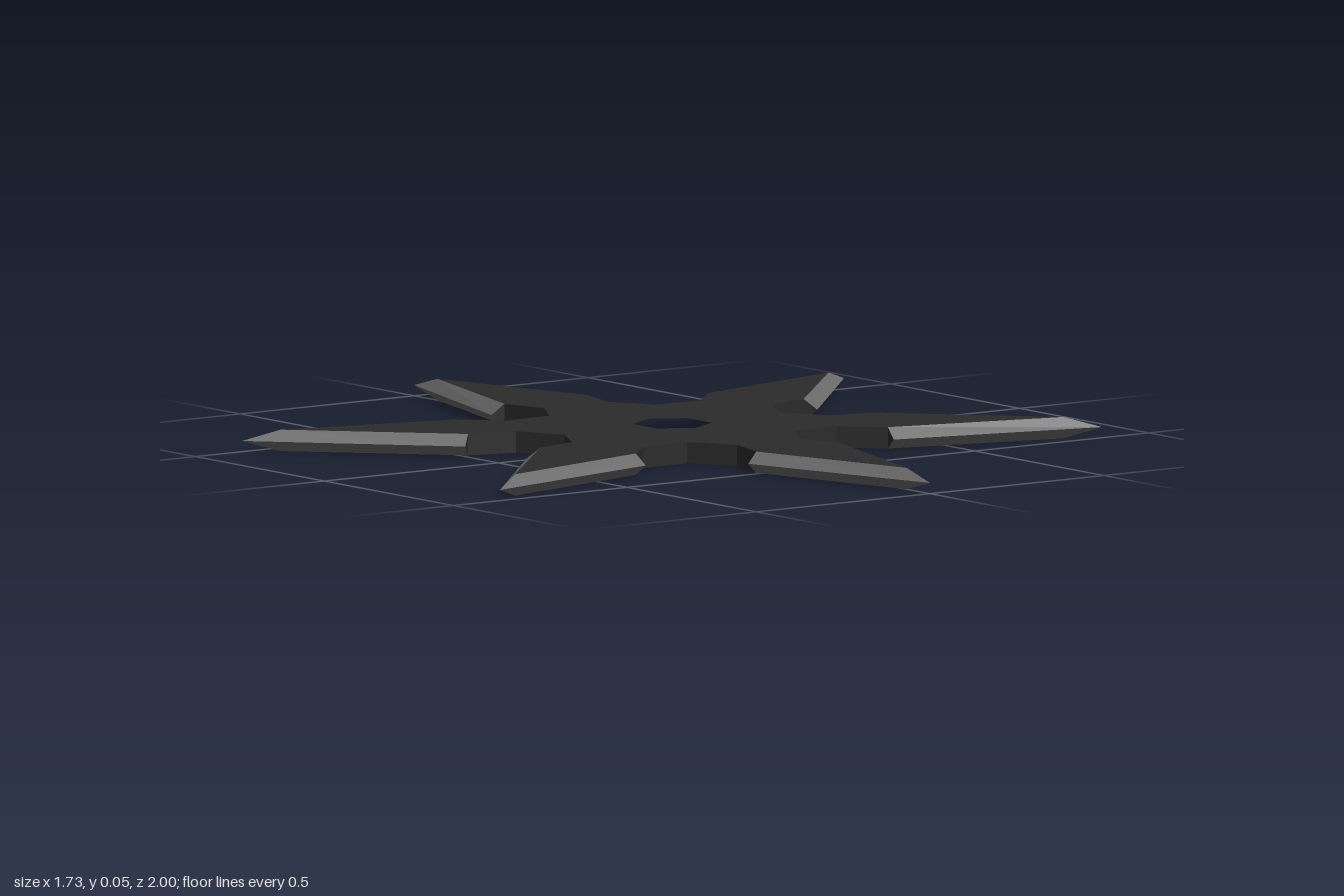
import * as THREE from 'three';

const THICK = 0.05, MID = THICK / 2, POINTS = 6;

// Unindexed geometry from polygons given as corner lists, fanned into triangles
function polygons(faces) {
  const pos = [];
  for (const f of faces)
    for (let i = 1; i < f.length - 1; i++) pos.push(...f[0], ...f[i], ...f[i + 1]);
  const g = new THREE.BufferGeometry();
  g.setAttribute('position', new THREE.Float32BufferAttribute(pos, 3));
  g.computeVertexNormals();
  return g;
}

export function createModel() {
  const darkSteel = new THREE.MeshStandardMaterial({ color: 0x2b2b2b });
  darkSteel.name = 'darkSteel';
  const groundSteel = new THREE.MeshStandardMaterial({ color: 0x6b6b6b });
  groundSteel.name = 'groundSteel';
  const model = new THREE.Group();
  model.name = 'throwingStar';

  // Flat plate: one arm's outline repeated around the centre
  const arm = [[-0.09, 0.373], [-0.12, 0.488], [0, 0.91], [0.12, 0.488], [0.09, 0.373], [0.155, 0.268]];
  const outline = [], hole = [];
  for (let i = 0; i < POINTS; i++) {
    const a = -i * Math.PI * 2 / POINTS;
    for (const [x, y] of arm)
      outline.push(new THREE.Vector2(x, y).rotateAround(new THREE.Vector2(), a));
    hole.push(new THREE.Vector2(0, 0.092).rotateAround(new THREE.Vector2(), a));
  }
  const shape = new THREE.Shape(outline);
  shape.holes.push(new THREE.Path(hole));
  const plate = new THREE.Mesh(
    new THREE.ExtrudeGeometry(shape, { depth: THICK, bevelEnabled: false }).rotateX(-Math.PI / 2), darkSteel);
  plate.name = 'plate';
  model.add(plate);

  // Sharpened double bevels along both sides of an arm, and the shoulder ends
  const edgeFaces = [], shoulderFaces = [];
  for (const s of [1, -1]) {
    const tip = [0, MID, 1], tipTop = [0, THICK, 0.91], tipLow = [0, 0, 0.91];
    const side = [s * 0.15, MID, 0.498], top = [s * 0.12, THICK, 0.488], low = [s * 0.12, 0, 0.488];
    const wind = (f) => (s > 0 ? f : f.reverse());
    edgeFaces.push(wind([tipTop, tip, side, top]), wind([low, side, tip, tipLow]));
    shoulderFaces.push(wind([top, side, low]));
  }
  const edgeGeo = polygons(edgeFaces), shoulderGeo = polygons(shoulderFaces);
  for (let i = 0; i < POINTS; i++) {
    const blade = new THREE.Group();
    blade.name = 'blade';
    const edge = new THREE.Mesh(edgeGeo, groundSteel);
    edge.name = 'sharpEdge';
    const shoulder = new THREE.Mesh(shoulderGeo, darkSteel);
    shoulder.name = 'bladeShoulder';
    blade.add(edge, shoulder);
    blade.rotation.y = i * Math.PI * 2 / POINTS;
    model.add(blade);
  }
  return model;
}
